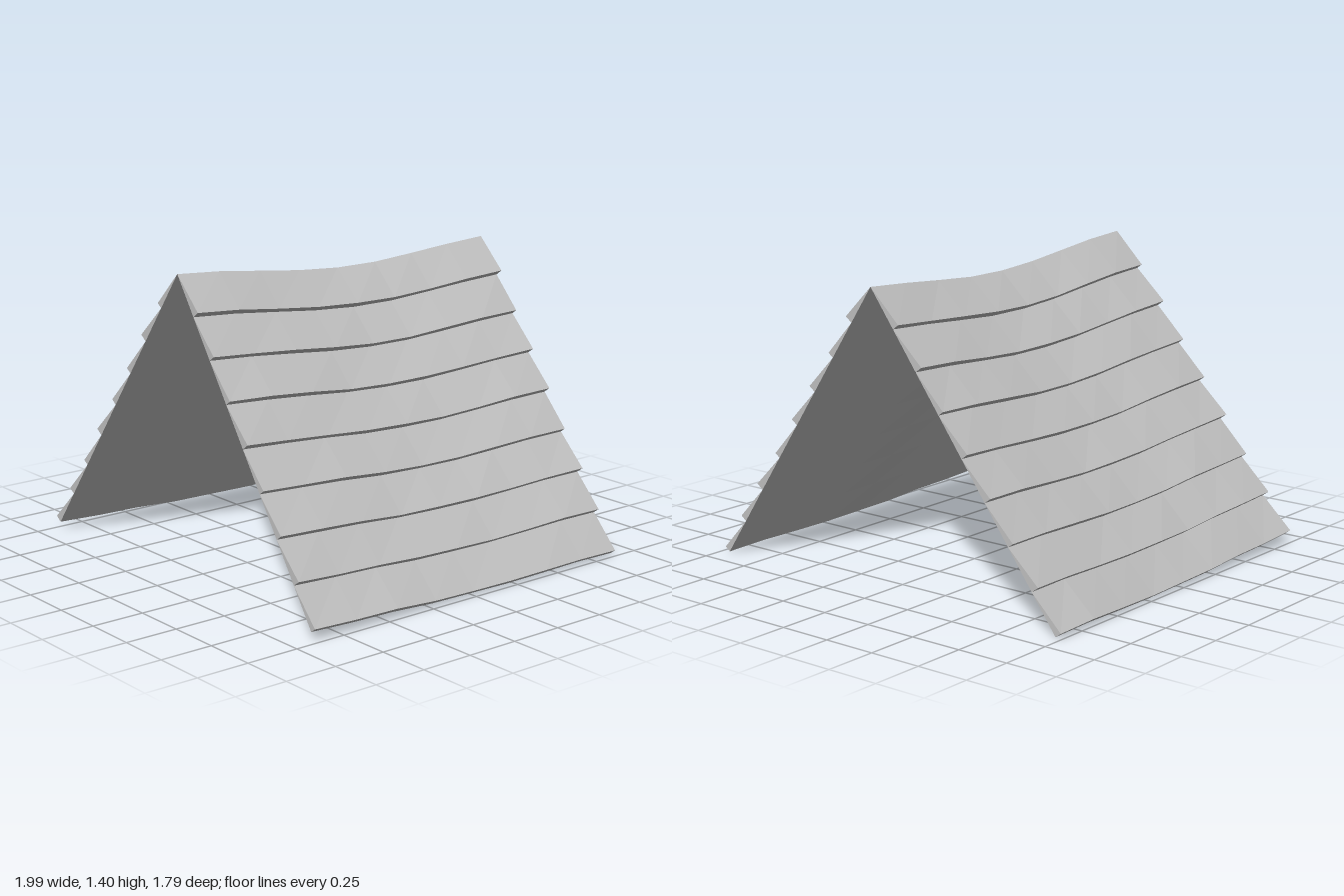
import * as THREE from 'three';

const ROWS = 8;
// Heights of the sagging ridge and of the eaves at even stations, front to back
const RIDGE = [1.40, 1.385, 1.36, 1.335, 1.32, 1.32, 1.335, 1.352, 1.365];
const EAVE = [0.04, 0.03, 0.025, 0.012, 0.008, 0.004, 0.006, 0.01, 0.006];
const RIDGE_X = 0.03;
const LAST = RIDGE.length - 1;

// Point on the roof plane: t runs from ridge (0) to eave (1), i is the station
function roofPoint(side, t, i) {
  const eaveX = side > 0 ? 0.96 : -0.965;
  const front = THREE.MathUtils.lerp(0.882, 0.893, t);
  const back = THREE.MathUtils.lerp(-0.9, -0.886, t);
  return new THREE.Vector3(
    THREE.MathUtils.lerp(RIDGE_X, eaveX, t),
    THREE.MathUtils.lerp(RIDGE[i], EAVE[i], t),
    THREE.MathUtils.lerp(front, back, i / LAST)
  );
}

// One wedge-shaped course: thin at its upper edge, thick at its lower edge
function courseGeometry(side, row) {
  const sections = RIDGE.map((_, i) => {
    const top = roofPoint(side, row / ROWS, i);
    const inner = roofPoint(side, (row + 1) / ROWS, i);
    const thick = 0.036 + 0.005 * Math.sin(i * 1.7 + row * 2.3 + side);
    const outer = inner.clone().add(new THREE.Vector3(side * 0.81 * thick, 0.59 * thick, 0));
    return side > 0 ? [top, inner, outer] : [top, outer, inner];
  });
  const positions = [];
  const tri = (...points) => points.forEach((p) => positions.push(p.x, p.y, p.z));
  for (let i = 0; i < LAST; i++) {
    const f = sections[i];
    const b = sections[i + 1];
    for (let k = 0; k < 3; k++) {
      const n = (k + 1) % 3;
      tri(f[k], b[k], b[n]);
      tri(f[k], b[n], f[n]);
    }
  }
  // End caps
  const [a, b, c] = sections[LAST];
  tri(...sections[0]);
  tri(a, c, b);
  const geometry = new THREE.BufferGeometry();
  geometry.setAttribute('position', new THREE.Float32BufferAttribute(positions, 3));
  geometry.computeVertexNormals();
  return geometry;
}

export function createModel() {
  const roof = new THREE.Group();
  roof.name = 'roof';
  const grey = new THREE.MeshStandardMaterial({ color: 0xc0c0c0 });
  grey.name = 'roof grey';
  grey.flatShading = true;

  // Eight overlapping courses on each slope
  for (const side of [1, -1]) {
    const slope = new THREE.Group();
    slope.name = side > 0 ? 'leftSlope' : 'rightSlope';
    for (let row = 0; row < ROWS; row++) {
      const course = new THREE.Mesh(courseGeometry(side, row), grey);
      course.name = `shingleCourse${row + 1}`;
      slope.add(course);
    }
    roof.add(slope);
  }
  return roof;
}
